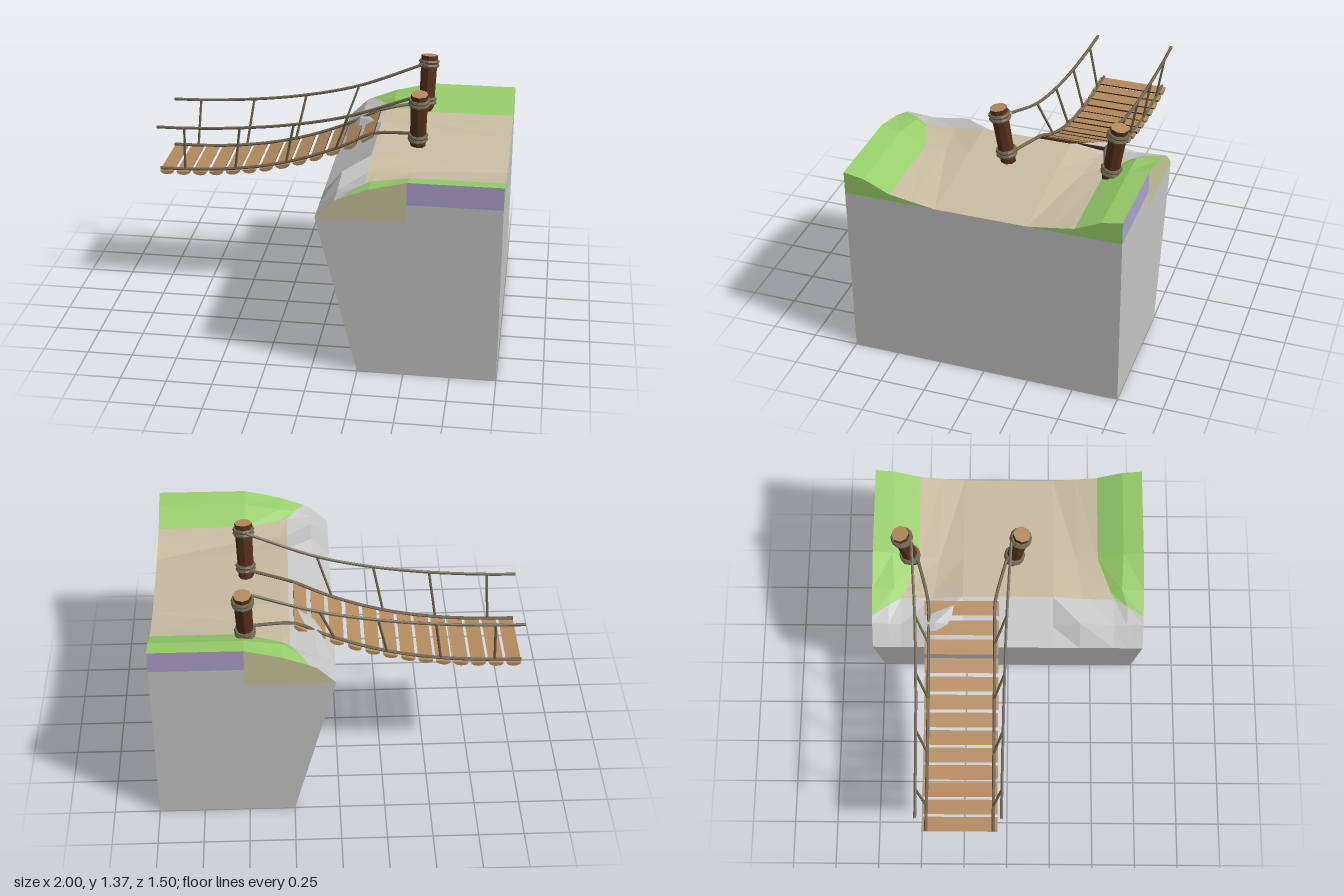
import * as THREE from 'three';

const mat = (name, color, side = THREE.FrontSide) => {
  const m = new THREE.MeshStandardMaterial({ color, side, flatShading: true });
  m.name = name;
  return m;
};
const V = (x, y, z) => new THREE.Vector3(x, y, z);

export function createModel() {
  const rock = mat('rock', 0xc4c4c4);
  const sand = mat('sand', 0xcabda3);
  const grass = mat('grass', 0x98cf6c, THREE.DoubleSide);
  const khaki = mat('khaki earth', 0xc8c49a, THREE.DoubleSide);
  const violet = mat('violet earth', 0xaea0cc, THREE.DoubleSide);
  const bark = mat('bark', 0x55301b);
  const wood = mat('cut wood', 0xb38a5e);
  const rope = mat('rope', 0x6f6652);

  const model = new THREE.Group();
  const add = (name, geo, material, parent = model) => {
    const mesh = new THREE.Mesh(geo, material);
    mesh.name = name;
    parent.add(mesh);
    return mesh;
  };
  const shape = pts => new THREE.Shape(pts.map(p => new THREE.Vector2(...p)));

  // Cliff block with an overhanging face
  const block = new THREE.ExtrudeGeometry(
    shape([[0.25, 0], [1, 0], [1, 1], [0.5, 1], [0.5, 0.9], [0.02, 0.9]]),
    { depth: 1.5, bevelEnabled: false });
  block.translate(0, 0, -0.75);
  add('cliffBlock', block, rock);

  // Terrain rows from cliff lip to back edge; each lists centre-to-side points
  const rows = [
    [[0.02, 0.9, 0.25], [0.02, 0.9, 0.4], [0.02, 0.9, 0.59], [0.02, 0.9, 0.66], [0.02, 0.9, 0.75]],
    [[0.12, 0.965, 0.25], [0.12, 1.02, 0.4], [0.12, 0.99, 0.59], [0.12, 0.995, 0.66], [0.12, 1.0, 0.75]],
    [[0.26, 1.06, 0.25], [0.26, 1.03, 0.42], [0.26, 1.03, 0.59], [0.215, 1.035, 0.66], [0.16, 1.02, 0.75]],
    [[0.3, 1.057, 0.25], [0.3, 1.03, 0.41], [0.3, 1.035, 0.57], [0.3, 1.07, 0.63], [0.3, 1.075, 0.75]],
    [[0.5, 1.041, 0.25], [0.5, 1.028, 0.38], [0.5, 1.04, 0.5], [0.5, 1.105, 0.64], [0.5, 1.125, 0.75]],
    [[1, 1, 0.25], [1, 1.02, 0.38], [1, 1.04, 0.5], [1, 1.105, 0.64], [1, 1.125, 0.75]],
  ].map(r => [...r.map(([x, y, z]) => [x, y, -z]).reverse(), ...r]);

  const zones = { cliffLip: [], sandyPath: [], grassBank: [] };
  for (let i = 0; i < rows.length - 1; i++) {
    for (let j = 0; j < 9; j++) {
      const a = rows[i][j], b = rows[i + 1][j], c = rows[i][j + 1], d = rows[i + 1][j + 1];
      const zone = i < 2 ? 'cliffLip' : Math.abs(j - 4) <= 2 ? 'sandyPath' : 'grassBank';
      const tris = j >= 4 ? [a, c, b, b, c, d] : [a, c, d, a, d, b];
      zones[zone].push(...tris.flat());
    }
  }
  const zoneMat = { cliffLip: rock, sandyPath: sand, grassBank: grass };
  for (const name in zones) {
    const g = new THREE.BufferGeometry();
    g.setAttribute('position', new THREE.Float32BufferAttribute(zones[name], 3));
    g.computeVertexNormals();
    add(name, g, zoneMat[name]);
  }

  // Earth layers on both sides and grass edges at the back
  for (const s of [-1, 1]) {
    const front = new THREE.ShapeGeometry(shape(
      [[0.02, 0.9], [0.5, 0.9], [0.5, 1.125], [0.3, 1.075], [0.16, 1.02], [0.12, 1]]));
    const rear = new THREE.ShapeGeometry(shape([[0.5, 1], [1, 1], [1, 1.125], [0.5, 1.125]]));
    const edge = new THREE.ShapeGeometry(shape(
      [[0.25, 1], [0.75, 1], [0.75, 1.125], [0.64, 1.105], [0.5, 1.04], [0.38, 1.02]]));
    // turn rather than mirror, so normals face outwards
    if (s < 0) {
      for (const g of [front, rear]) {
        g.scale(-1, 1, 1).rotateY(Math.PI);
        const idx = g.index.array;
        for (let k = 0; k < idx.length; k += 3) [idx[k], idx[k + 1]] = [idx[k + 1], idx[k]];
        const n = g.attributes.normal;
        for (let k = 0; k < n.count; k++) n.setXYZ(k, 0, 0, -1);
      }
    }
    add('frontEarthLayer', front.translate(0, 0, s * 0.75), khaki);
    add('rearEarthLayer', rear.translate(0, 0, s * 0.75), violet);
    const p = edge.attributes.position, n = edge.attributes.normal;
    for (let k = 0; k < p.count; k++) {
      p.setXYZ(k, 1, p.getY(k), s * p.getX(k));
      n.setXYZ(k, 1, 0, 0);
    }
    if (s > 0) {
      const idx = edge.index.array;
      for (let k = 0; k < idx.length; k += 3) [idx[k], idx[k + 1]] = [idx[k + 1], idx[k]];
    }
    add('grassEdge', edge, grass);
  }

  // Bridge, centred on its own z axis
  const bridge = new THREE.Group();
  bridge.name = 'ropeBridge';
  bridge.position.z = -0.255;
  model.add(bridge);
  const deckY = x => 0.76 + 0.17 * Math.pow(Math.max(0, x + 1), 2.5);

  // Half-log planks: bark below, cut wood on top and at the ends
  const log = new THREE.CylinderGeometry(0.041, 0.041, 0.41, 6, 1, false, -Math.PI / 2, Math.PI);
  log.rotateX(Math.PI / 2).scale(1, 0.55, 1);
  const face = new THREE.PlaneGeometry(0.082, 0.41).rotateX(-Math.PI / 2);
  for (let i = 0; i < 13; i++) {
    const x = -0.958 + i * 0.0964;
    const plank = new THREE.Group();
    plank.name = 'plank';
    plank.position.set(x, deckY(x) + 0.01, 0);
    plank.rotation.z = Math.atan((deckY(x + 0.04) - deckY(x - 0.04)) / 0.08) + 0.05 * Math.sin(i * 2.3);
    add('plankLog', log, [bark, wood, wood], plank);
    add('plankTop', face, wood, plank);
    bridge.add(plank);
  }

  const tube = (name, pts, r) => add(name, new THREE.TubeGeometry(
    new THREE.CatmullRomCurve3(pts), pts.length > 2 ? 24 : 1, r, 6), rope, bridge);

  for (const s of [-1, 1]) {
    // Leaning post with a cut top and two rope bindings
    const base = V(0.49, 0.98, s * 0.272), top = V(0.5, 1.36, s * 0.33);
    const len = base.distanceTo(top);
    const post = new THREE.Group();
    post.name = 'post';
    post.position.copy(base);
    post.quaternion.setFromUnitVectors(V(0, 1, 0), top.clone().sub(base).normalize());
    bridge.add(post);
    const trunk = new THREE.CylinderGeometry(0.048, 0.042, len, 8).translate(0, len / 2, 0);
    add('postTrunk', trunk, [bark, wood, bark], post);
    for (const y of [0.105, 0.128, 0.325, 0.348]) {
      const ring = new THREE.TorusGeometry(y > 0.2 ? 0.05 : 0.047, 0.011, 6, 12).rotateX(Math.PI / 2);
      add('ropeBinding', ring, rope, post).position.y = y;
    }

    // Handrail, deck rope and hangers
    tube('handrail', [V(-1, 1.048, s * 0.228), V(-0.84, 1.05, s * 0.23), V(-0.52, 1.07, s * 0.234),
      V(-0.21, 1.11, s * 0.24), V(0.1, 1.18, s * 0.25), V(0.48, 1.325, s * 0.272)], 0.009);
    const deck = [-1, -0.8, -0.6, -0.4, -0.2, 0, 0.12, 0.22].map(x => V(x, deckY(x) + 0.017, s * 0.183));
    tube('deckRope', [...deck, V(0.48, 1.1, s * 0.25)], 0.009);
    for (const [x0, x1, y1, z1] of [[-0.855, -0.84, 1.05, 0.23], [-0.56, -0.52, 1.07, 0.234],
      [-0.265, -0.21, 1.11, 0.24], [0.02, 0.1, 1.18, 0.25]]) {
      tube('hangerRope', [V(x0, deckY(x0) + 0.015, s * 0.183), V(x1, y1, s * z1)], 0.007);
    }
  }
  return model;
}
